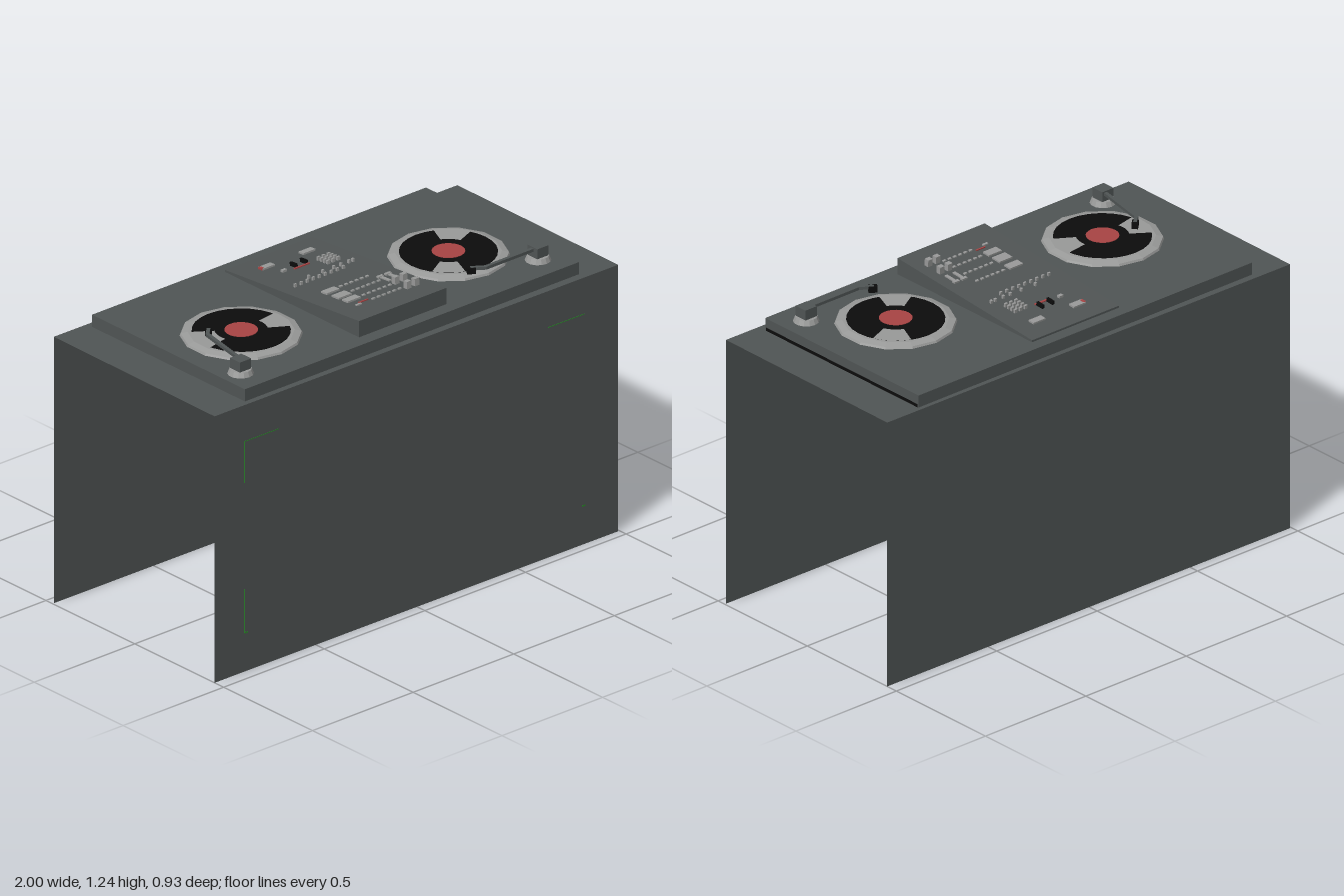
import * as THREE from 'three';

const mat = (name, color, flat = true) => {
  const m = new THREE.MeshStandardMaterial({ color, side: THREE.DoubleSide, flatShading: flat });
  m.name = name;
  return m;
};

export function createModel() {
  const root = new THREE.Group();
  const body = mat('charcoal', 0x505555);
  const silver = mat('silver', 0x999a99);
  const black = mat('black', 0x0c0c0c);
  const red = mat('red', 0xa84444);
  const green = mat('green', 0x2c8a2c);

  const add = (parent, name, geo, material, x = 0, y = 0, z = 0) => {
    const m = new THREE.Mesh(geo, material);
    m.name = name;
    m.position.set(x, y, z);
    parent.add(m);
    return m;
  };
  const box = (parent, name, material, w, h, d, x, y, z) =>
    add(parent, name, new THREE.BoxGeometry(w, h, d), material, x, y, z);
  const group = (name, parent = root) => {
    const g = new THREE.Group();
    g.name = name;
    parent.add(g);
    return g;
  };

  // Table: thin sheets, open at both ends, standing very slightly askew
  const table = group('table');
  table.rotation.y = -0.007;
  const W = 1.994, D = 0.912, H = 1.1;
  add(table, 'frontPanel', new THREE.PlaneGeometry(W, H), body, 0, H / 2, D / 2);
  add(table, 'backPanel', new THREE.PlaneGeometry(W, H), body, 0, H / 2, -D / 2).rotation.y = Math.PI;
  const top = new THREE.Shape();
  top.moveTo(-W / 2, -D / 2).lineTo(W / 2, -D / 2).lineTo(W / 2, D / 2).lineTo(-W / 2, D / 2).closePath();
  const hole = new THREE.Path();
  hole.moveTo(-0.82, -0.42).lineTo(-0.82, 0.42).lineTo(0.82, 0.42).lineTo(0.82, -0.42).closePath();
  top.holes.push(hole);
  add(table, 'tableTop', new THREE.ShapeGeometry(top).rotateX(-Math.PI / 2), body, 0, H, 0);

  // Hairline green corner marks on the front
  const zf = D / 2 + 0.001;
  for (const [w, h, x, y] of [[0.17, 0.003, -0.765, 0.95], [0.18, 0.003, 0.74, 0.95],
    [0.003, 0.17, -0.85, 0.865], [0.003, 0.18, -0.85, 0.25],
    [0.016, 0.006, -0.842, 0.16], [0.016, 0.006, 0.825, 0.16]])
    box(table, 'cornerMark', green, w, h, 0.001, x, y, zf);

  // Console base: box without its bottom
  const deckGeo = new THREE.BoxGeometry(1.66, 0.05, 0.86);
  const idx = Array.from(deckGeo.index.array);
  idx.splice(18, 6);
  deckGeo.setIndex(idx);
  deckGeo.clearGroups();
  add(root, 'consoleBase', deckGeo, body, 0, 1.125, -0.003);
  box(root, 'endTrim', black, 0.002, 0.012, 0.85, 0.831, 1.106, -0.003);

  // Mixer wedge, higher at the front
  const mixer = group('mixer');
  const zb = -0.383, zt = 0.372;
  const topY = z => 1.158 + (z - zb) / (zt - zb) * 0.059;
  const wedge = new THREE.Shape();
  wedge.moveTo(-zt, 1.15).lineTo(-zb, 1.15).lineTo(-zb, topY(zb)).lineTo(-zt, topY(zt)).closePath();
  const wedgeGeo = new THREE.ExtrudeGeometry(wedge, { depth: 0.434, bevelEnabled: false });
  wedgeGeo.rotateY(Math.PI / 2);
  add(mixer, 'mixerBody', wedgeGeo, body, -0.214, 0, 0);

  const slope = Math.atan(0.059 / (zt - zb));
  const control = (name, m, w, h, d, x, z) => {
    box(mixer, name, m, w, h, d, x, topY(z) + h / 2 - 0.001, z).rotation.x = -slope;
  };
  // Screens and plates
  for (const x of [-0.093, 0.108]) control('display', silver, 0.06, 0.008, 0.028, x, -0.285);
  control('displayLight', red, 0.012, 0.009, 0.02, -0.12, -0.285);
  for (const [z, d] of [[0.073, 0.034], [0.137, 0.042], [0.192, 0.034]])
    control('padPlate', silver, 0.064, 0.008, d, -0.093, z);
  // Toggles over a red strip
  control('redStrip', red, 0.075, 0.005, 0.008, 0, -0.193);
  for (const x of [-0.02, 0.03]) control('toggle', black, 0.01, 0.016, 0.034, x, -0.215);
  control('smallButton', silver, 0.02, 0.01, 0.014, -0.078, -0.205);
  // Button grid
  for (let r = 0; r < 4; r++)
    for (let c = 0; c < 3; c++)
      control('gridButton', silver, 0.013, 0.016, 0.009, 0.083 + c * 0.025, -0.192 + r * 0.018);
  // Middle rows of small knobs
  for (const x of [-0.06, 0.01, 0.065, 0.1, 0.14, 0.16])
    control('knob', silver, 0.009, 0.014, 0.01, x, -0.086);
  for (let i = 0; i < 9; i++)
    control('knob', silver, 0.011, 0.014, 0.008, -0.15 + i * 0.03, -0.06);
  // Lower rows of small buttons
  for (const z of [0.067, 0.133, 0.195, 0.25])
    for (let i = 0; i < 6; i++)
      control('rowButton', silver, 0.013, 0.006, 0.01, -0.035 + i * 0.026, z);
  control('redButton', red, 0.045, 0.005, 0.006, -0.075, 0.238);
  control('lowButton', silver, 0.025, 0.006, 0.01, -0.11, 0.252);
  // Faders and tall knobs
  for (const x of [0.124, 0.163]) {
    control('faderSlot', silver, 0.013, 0.006, 0.06, x, 0.135);
    control('faderCap', silver, 0.026, 0.008, 0.014, x, 0.108);
    control('tallKnob', silver, 0.022, 0.03, 0.02, x, 0.195);
    control('tallKnob', silver, 0.022, 0.03, 0.02, x, 0.262);
  }

  // Turntables: centre x, arm base x, arm path [x, z], bare patch angles on the disc
  const tables = [
    { cx: -0.533, bx: -0.748, path: [[-0.738, 0.29], [-0.692, 0.06], [-0.66, 0.03]], bare: [[-8, 32], [168, 215]] },
    { cx: 0.497, bx: 0.73, path: [[0.71, 0.31], [0.47, 0.31], [0.425, 0.28]], bare: [[-66, -22], [112, 150]] },
  ];
  const cz = 0.07;
  for (const t of tables) {
    const g = group('turntable');
    const prof = [[0.215, 0], [0.23, 0.006], [0.226, 0.014], [0.2, 0.021], [0, 0.021]].map(p => new THREE.Vector2(...p));
    add(g, 'platter', new THREE.LatheGeometry(prof, 14), silver, t.cx, 1.15, cz);
    add(g, 'record', new THREE.CylinderGeometry(0.185, 0.185, 0.003, 28), black, t.cx, 1.1725, cz);
    add(g, 'label', new THREE.CylinderGeometry(0.063, 0.063, 0.003, 24), red, t.cx, 1.1745, cz);
    // Parts of the platter showing past the record
    for (const [a, b] of t.bare) {
      const start = -b * Math.PI / 180, len = (b - a) * Math.PI / 180;
      const patch = new THREE.RingGeometry(0.1, 0.192, 8, 1, start, len).rotateX(-Math.PI / 2);
      add(g, 'barePlatter', patch, silver, t.cx, 1.1755, cz);
    }

    // Tonearm
    const arm = group('tonearm', g);
    add(arm, 'armBase', new THREE.CylinderGeometry(0.042, 0.05, 0.02, 14), silver, t.bx, 1.16, 0.31);
    box(arm, 'armPivot', body, 0.056, 0.042, 0.056, t.bx, 1.19, 0.31);
    for (let i = 0; i < 2; i++) {
      const [x0, z0] = t.path[i], [x1, z1] = t.path[i + 1];
      const len = Math.hypot(x1 - x0, z1 - z0) + 0.008;
      const rod = box(arm, 'armRod', body, 0.014, 0.012, len, (x0 + x1) / 2, 1.2, (z0 + z1) / 2);
      rod.rotation.y = Math.atan2(x1 - x0, z1 - z0);
    }
    const [[px, pz], [ex, ez]] = t.path.slice(1);
    const head = box(arm, 'headshell', black, 0.024, 0.024, 0.034, ex, 1.193, ez);
    head.rotation.y = Math.atan2(ex - px, ez - pz);
  }
  return root;
}
